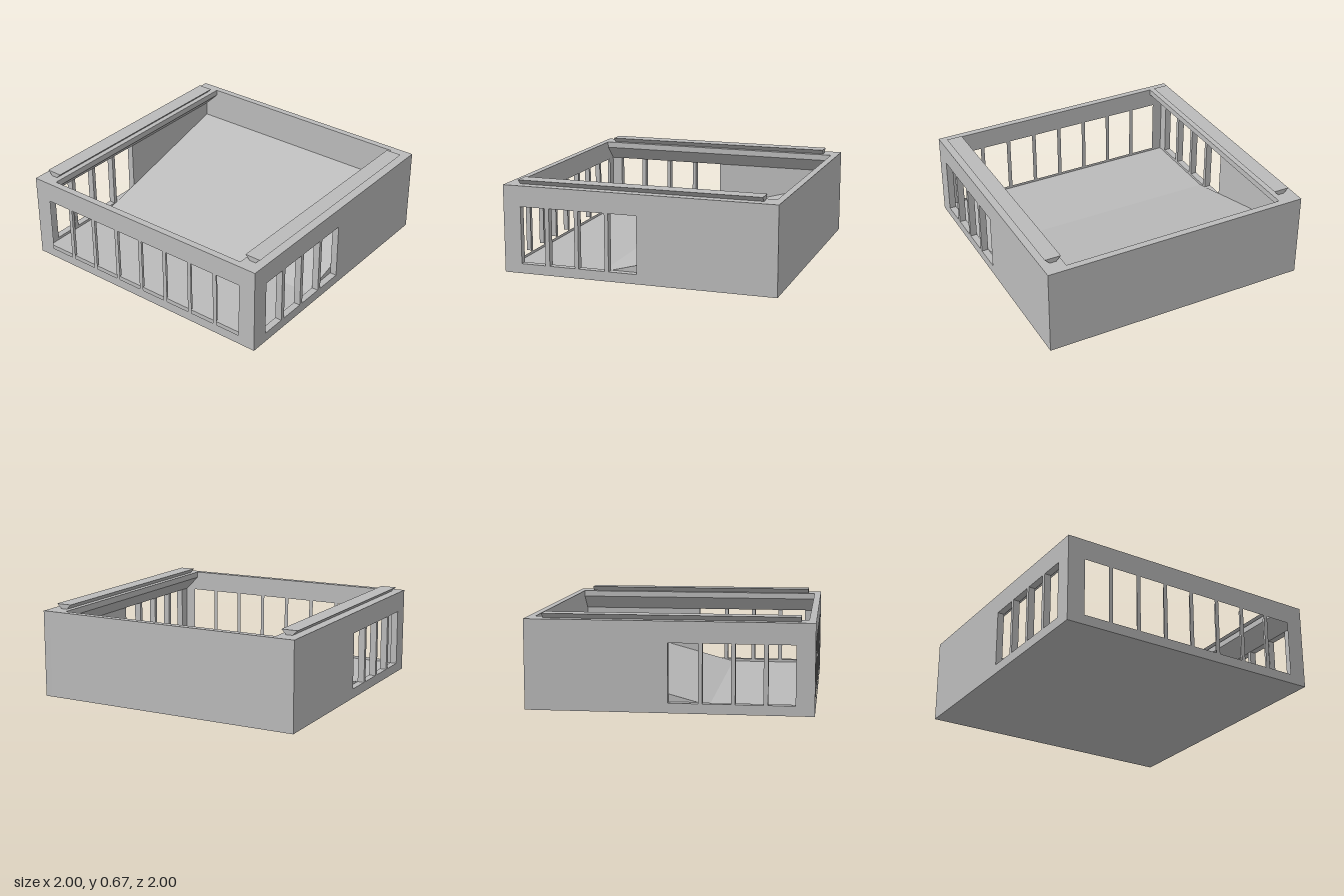
import * as THREE from 'three';

const T = 0.05;       // wall thickness
const H = 0.635;      // wall height
const SILL = 0.07, HEAD = 0.485;

export function createModel() {
  const model = new THREE.Group();
  model.name = 'building';
  const grey = new THREE.MeshStandardMaterial({ color: 0xbbbbbb });
  grey.name = 'concrete grey';

  const extrude = (name, points, depth, holes = []) => {
    const shape = new THREE.Shape(points.map(([x, y]) => new THREE.Vector2(x, y)));
    for (const [a, b] of holes) {
      shape.holes.push(new THREE.Path([[a, SILL], [a, HEAD], [b, HEAD], [b, SILL]]
        .map(([x, y]) => new THREE.Vector2(x, y))));
    }
    const geometry = new THREE.ExtrudeGeometry(shape, { depth, bevelEnabled: false });
    const mesh = new THREE.Mesh(geometry, grey);
    mesh.name = name;
    model.add(mesh);
    return mesh;
  };
  const wall = (half) => [[-half, 0], [half, 0], [half, H], [-half, H]];

  // Section given in (z, y), swept along x from x0 to x1
  const sweepX = (name, points, x0, x1, holes) => {
    const mesh = extrude(name, points.map(([z, y]) => [-z, y]), x1 - x0, holes);
    mesh.rotation.y = Math.PI / 2;
    mesh.position.x = x0;
    return mesh;
  };

  // Front and back walls, each with four windows in the -x half
  const endWindows = [[-0.87, -0.685], [-0.653, -0.462], [-0.433, -0.237], [-0.208, 0]];
  extrude('frontWall', wall(1), T, endWindows).position.z = 1 - T;
  extrude('backWall', wall(1), T, endWindows).position.z = -1;

  // Side walls: one solid, one with a row of eight windows
  const count = 8, gap = 0.031, span = 1.74;
  const width = (span - gap * (count - 1)) / count;
  const sideWindows = Array.from({ length: count }, (_, i) => {
    const a = -span / 2 + i * (width + gap);
    return [a, a + width];
  });
  sweepX('leftWall', wall(1 - T), 1 - T, 1);
  sweepX('rightWall', wall(1 - T), -1, -1 + T, sideWindows);

  // Floor slab rising into a ramp
  extrude('floorAndRamp',
    [[-0.95, 0], [0.95, 0], [0.95, 0.38], [-0.28, T], [-0.95, T]], 1.9).position.z = -0.95;

  // Sloped inner ledges and flared roof rails along the front and back
  for (const [side, s] of [['front', 1], ['back', -1]]) {
    const flip = (points) => points.map(([z, y]) => [s * z, y]);
    sweepX(side + 'Ledge',
      flip([[0.95, H], [0.842, H], [0.842, 0.59], [0.95, HEAD]]), -0.95, 0.95);
    sweepX(side + 'RoofRail',
      flip([[0.882, H], [0.93, H], [0.967, 0.67], [0.848, 0.67]]), -0.9, 0.88);
  }
  return model;
}
